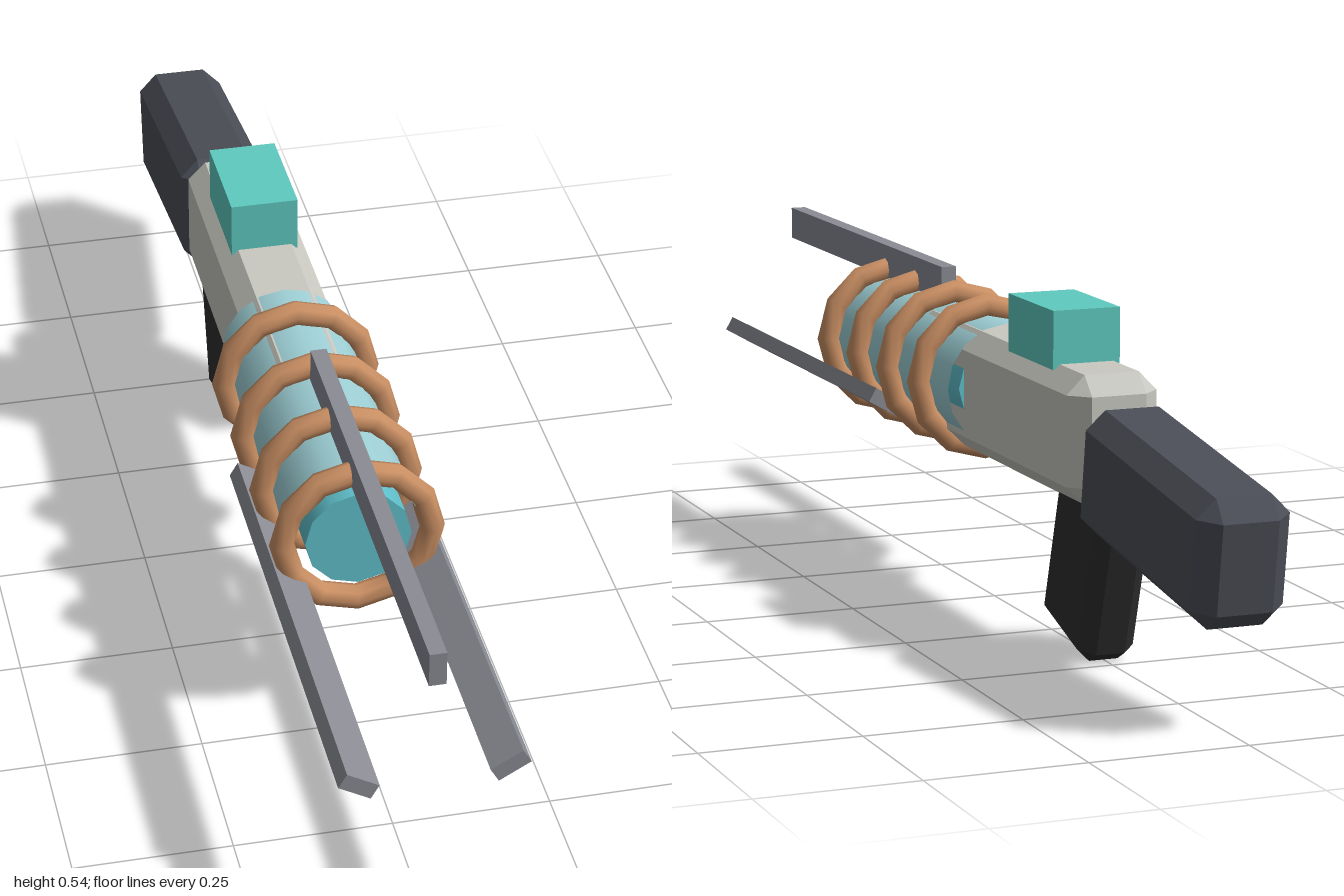
import * as THREE from 'three';
import { ConvexGeometry } from 'three/addons/geometries/ConvexGeometry.js';

const material = (name, color, extra = {}) => {
  const m = new THREE.MeshStandardMaterial({ color, ...extra });
  m.name = name;
  return m;
};

// Box with every edge and corner cut by one flat bevel
function bevelBox(w, h, d, b) {
  const points = [];
  for (const sx of [-1, 1]) for (const sy of [-1, 1]) for (const sz of [-1, 1]) {
    const x = w / 2, y = h / 2, z = d / 2;
    points.push(
      new THREE.Vector3(sx * x, sy * (y - b), sz * (z - b)),
      new THREE.Vector3(sx * (x - b), sy * y, sz * (z - b)),
      new THREE.Vector3(sx * (x - b), sy * (y - b), sz * z)
    );
  }
  return new ConvexGeometry(points);
}

export function createModel() {
  const model = new THREE.Group();
  model.name = 'coilRifle';

  const paleGrey = material('paleGrey', 0xc9c9c2);
  const slate = material('slate', 0x4b4e57);
  const black = material('black', 0x2e2e2e);
  const steel = material('steel', 0x8a8c94);
  const copper = material('copper', 0xcb9064);
  const teal = material('teal', 0x5fcac0);
  const cyan = material('cyan', 0x60c0cc);
  const paleBlue = material('paleBlue', 0x9dcfd5);

  const add = (name, geometry, mat, x, y, z, rx = 0, rz = 0) => {
    const mesh = new THREE.Mesh(geometry, mat);
    mesh.name = name;
    mesh.position.set(x, y, z);
    mesh.rotation.set(rx, 0, rz);
    model.add(mesh);
    return mesh;
  };

  const axisY = 0.365; // height of the barrel axis
  const deg = Math.PI / 180;

  // Receiver, stock and grip
  add('receiver', bevelBox(0.15, 0.203, 0.72, 0.03), paleGrey, 0, 0.357, -0.16);
  add('stock', bevelBox(0.148, 0.2, 0.468, 0.03), slate, 0, 0.29, -0.757, -8 * deg);
  add('grip', bevelBox(0.094, 0.28, 0.187, 0.023), black, 0, 0.155, -0.436, -17 * deg);

  // Sight block
  add('sight', new THREE.BoxGeometry(0.112, 0.093, 0.187), teal, 0, 0.4965, -0.297);

  // Barrel: inner core inside an open outer sleeve
  add('barrelCore', new THREE.CylinderGeometry(0.084, 0.084, 0.555, 12), cyan,
    0, axisY, 0.2225, Math.PI / 2);
  add('barrelSleeve', new THREE.CylinderGeometry(0.103, 0.103, 0.555, 16, 1, true), paleBlue,
    0, axisY, 0.2225, Math.PI / 2);

  // Copper coils
  const coilGeometry = new THREE.TorusGeometry(0.119, 0.02, 8, 12);
  for (let i = 0; i < 4; i++) add('coil', coilGeometry, copper, 0, axisY, 0.04 + i * 0.15);

  // Three rails around the barrel; the lower pair slopes up and outward
  const railGeometry = new THREE.BoxGeometry(0.026, 0.056, 0.79);
  for (const [angle, tilt] of [[90, 0], [210, 60], [330, -60]]) {
    add('rail', railGeometry, steel,
      0.131 * Math.cos(angle * deg), axisY + 0.131 * Math.sin(angle * deg), 0.605, 0, tilt * deg);
  }

  return model;
}
